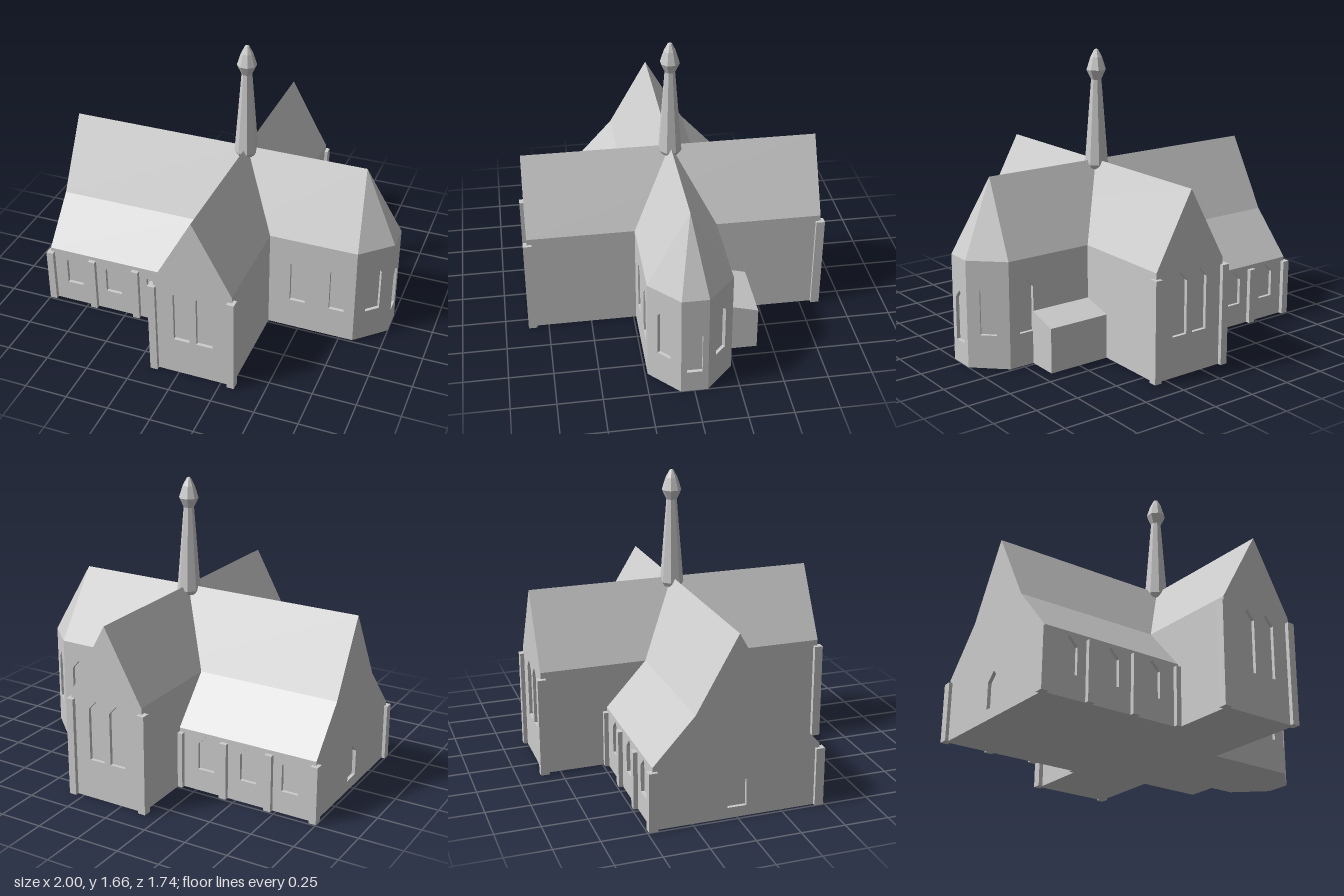
import * as THREE from 'three';

const stone = new THREE.MeshStandardMaterial({ color: 0xcccccc });
stone.name = 'stone grey';

// Main dimensions
const WEST = -0.98, TW = -0.14, TE = 0.315, CROSS = 0.0875, APSE = 0.83, EAST = 1;
const NAVE = 0.235, AISLE = 0.467, TRANSEPT = 0.845, END = 0.075;
const AISLE_Y = 0.355, EAVES = 0.61, RIDGE = 1.025, RIDGE_END = 0.795;
const REVEAL = 0.02;

// Flat faces from loops of three or four corners, counter-clockwise from outside
function faces(loops) {
  const p = [];
  for (const [a, b, c, d] of loops) {
    p.push(...a, ...b, ...c);
    if (d) p.push(...a, ...c, ...d);
  }
  const g = new THREE.BufferGeometry();
  g.setAttribute('position', new THREE.Float32BufferAttribute(p, 3));
  g.computeVertexNormals();
  return g;
}

// The same loops on both sides of the z = 0 plane
function bothSides(loops) {
  const mirrored = loops.map(l => l.map(([x, y, z]) => [x, y, -z]).reverse());
  return faces([...loops, ...mirrored]);
}

const toShape = pts => new THREE.Shape(pts.map(([x, y]) => new THREE.Vector2(x, y)));

// Pointed window outline: centre along the wall, width, sill and tip heights
const lancet = (c, w, y0, y1) => [
  [c - w / 2, y0], [c + w / 2, y0], [c + w / 2, y1 - 0.052], [c, y1], [c - w / 2, y1 - 0.052],
];

export function createModel() {
  const model = new THREE.Group();
  model.name = 'church';

  function add(parent, name, geometry) {
    const m = new THREE.Mesh(geometry, stone);
    m.name = name;
    parent.add(m);
    return m;
  }

  // Wall from ground point a to b ([x, z]); profile is a height or an outline
  function wall(name, a, b, profile, windows = []) {
    const u = new THREE.Vector3(b[0] - a[0], 0, b[1] - a[1]);
    const len = u.length();
    u.normalize();
    const up = new THREE.Vector3(0, 1, 0);
    const g = new THREE.Group();
    g.name = name;
    g.applyMatrix4(new THREE.Matrix4()
      .makeBasis(u, up, u.clone().cross(up)).setPosition(a[0], 0, a[1]));
    const outline = Array.isArray(profile) ? profile
      : [[0, 0], [len, 0], [len, profile], [0, profile]];
    const shape = toShape(outline);
    for (const w of windows) {
      shape.holes.push(toShape(w));
      add(g, 'windowPane', new THREE.ShapeGeometry(toShape(w))).position.z = -REVEAL;
      add(g, 'windowReveal', faces(w.map((p, i) => {
        const q = w[(i + 1) % w.length];
        return [[...p, 0], [...q, 0], [...q, -REVEAL], [...p, -REVEAL]];
      })));
    }
    add(g, 'wallFace', new THREE.ShapeGeometry(shape));
    model.add(g);
  }

  // Nave aisles with three windows a side
  const aisleX = [-0.83, -0.575, -0.31];
  wall('frontAisleWall', [WEST, AISLE], [TW, AISLE], AISLE_Y,
    aisleX.map(x => lancet(x - WEST, 0.1, 0.13, 0.335)));
  wall('backAisleWall', [TW, -AISLE], [WEST, -AISLE], AISLE_Y,
    aisleX.map(x => lancet(TW - x, 0.1, 0.13, 0.335)));

  // West gable with its small opening
  wall('westGable', [WEST, -AISLE], [WEST, AISLE], [
    [0, 0], [2 * AISLE, 0], [2 * AISLE, AISLE_Y], [AISLE + NAVE, EAVES],
    [AISLE, RIDGE], [AISLE - NAVE, EAVES], [0, AISLE_Y],
  ], [lancet(AISLE, 0.105, 0.06, 0.26)]);

  // Transept gables and side walls
  const tw = TE - TW;
  const gable = [[0, 0], [tw, 0], [tw, EAVES], [tw / 2, RIDGE], [0, EAVES]];
  const pair = [tw / 2 - 0.067, tw / 2 + 0.067].map(c => lancet(c, 0.094, 0.23, 0.583));
  wall('frontTranseptGable', [TW, TRANSEPT], [TE, TRANSEPT], gable, pair);
  wall('backTranseptGable', [TE, -TRANSEPT], [TW, -TRANSEPT], gable, pair);
  wall('transeptWestWall', [TW, -TRANSEPT], [TW, TRANSEPT], EAVES);
  wall('transeptEastWall', [TE, TRANSEPT], [TE, -TRANSEPT], EAVES);

  // Choir and three-sided apse
  const tall = c => lancet(c, 0.09, 0.19, 0.498);
  const slant = Math.hypot(EAST - APSE, NAVE - END) / 2;
  wall('frontChoirWall', [TE, NAVE], [APSE, NAVE], EAVES, [tall(0.487 - TE), tall(0.723 - TE)]);
  wall('frontApseWall', [APSE, NAVE], [EAST, END], EAVES, [tall(slant)]);
  wall('endApseWall', [EAST, END], [EAST, -END], EAVES, [lancet(END, 0.085, 0.13, 0.423)]);
  wall('backApseWall', [EAST, -END], [APSE, -NAVE], EAVES, [tall(slant)]);
  wall('backChoirWall', [APSE, -NAVE], [TE, -NAVE], EAVES, [tall(APSE - 0.723)]);

  // Lean-to annex behind the choir
  const AX = 0.683, AZ = -0.413, LOW = 0.255, HIGH = 0.303, depth = -NAVE - AZ;
  wall('annexEndWall', [AX, -NAVE], [AX, AZ], [[0, 0], [depth, 0], [depth, LOW], [0, HIGH]]);
  wall('annexBackWall', [AX, AZ], [TE, AZ], LOW);
  add(model, 'annexRoof', faces([
    [[TE, HIGH, -NAVE], [AX, HIGH, -NAVE], [AX, LOW, AZ], [TE, LOW, AZ]],
  ]));

  // Roofs
  add(model, 'naveRoof', bothSides([
    [[WEST, EAVES, NAVE], [CROSS, EAVES, NAVE], [CROSS, RIDGE, 0], [WEST, RIDGE, 0]],
  ]));
  add(model, 'aisleRoof', bothSides([
    [[WEST, AISLE_Y, AISLE], [TW, AISLE_Y, AISLE], [TW, EAVES, NAVE], [WEST, EAVES, NAVE]],
  ]));
  add(model, 'transeptRoof', faces([
    [[TW, EAVES, -TRANSEPT], [TW, EAVES, TRANSEPT], [CROSS, RIDGE, TRANSEPT], [CROSS, RIDGE, -TRANSEPT]],
    [[TE, EAVES, TRANSEPT], [TE, EAVES, -TRANSEPT], [CROSS, RIDGE, -TRANSEPT], [CROSS, RIDGE, TRANSEPT]],
  ]));
  const apex = [RIDGE_END, RIDGE, 0];
  add(model, 'choirRoof', bothSides([
    [[CROSS, EAVES, NAVE], [APSE, EAVES, NAVE], apex, [CROSS, RIDGE, 0]],
    [[APSE, EAVES, NAVE], [EAST, EAVES, END], apex],
  ]));
  add(model, 'apseEndRoof', faces([[[EAST, EAVES, END], [EAST, EAVES, -END], apex]]));

  // Floor, facing down (shape y becomes z)
  const plan = toShape([
    [WEST, -AISLE], [TW, -AISLE], [TW, -TRANSEPT], [TE, -TRANSEPT], [TE, AZ], [AX, AZ],
    [AX, -NAVE], [APSE, -NAVE], [EAST, -END], [EAST, END], [APSE, NAVE], [TE, NAVE],
    [TE, TRANSEPT], [TW, TRANSEPT], [TW, AISLE], [WEST, AISLE],
  ]);
  add(model, 'floor', new THREE.ShapeGeometry(plan).rotateX(Math.PI / 2));

  // Buttresses
  function buttress(x, z, h) {
    add(model, 'buttress', new THREE.BoxGeometry(0.043, h, 0.05)).position.set(x, h / 2, z);
  }
  for (const s of [1, -1]) {
    for (const x of [-0.978, -0.706, -0.428, -0.148]) buttress(x, s * 0.467, 0.332);
    for (const x of [-0.145, 0.313]) buttress(x, s * 0.843, 0.575);
  }

  // Eight-sided spire with a bulbous tip
  const profile = [
    [0, 0.975], [0.054, 0.975], [0.068, 1.0], [0.03, 1.485],
    [0.056, 1.54], [0.034, 1.61], [0.012, 1.652], [0, 1.658],
  ].map(([r, y]) => new THREE.Vector2(r, y));
  const spire = new THREE.LatheGeometry(profile, 8, Math.PI / 8).toNonIndexed();
  spire.computeVertexNormals();
  add(model, 'spire', spire).position.x = 0.083;

  return model;
}
